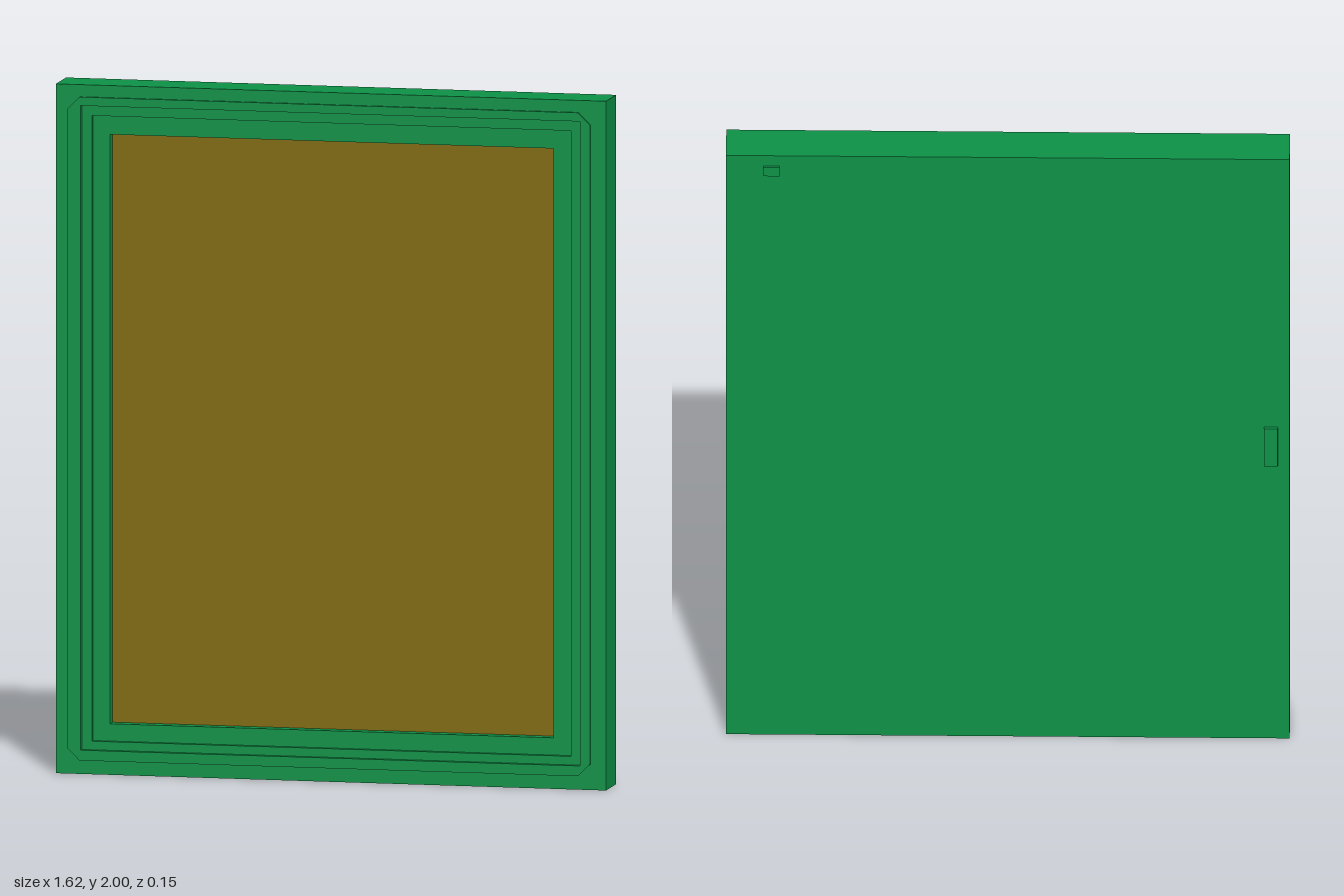
import * as THREE from 'three';

const green = new THREE.MeshStandardMaterial({ color: 0x0d9146, flatShading: true });
const brown = new THREE.MeshStandardMaterial({ color: 0x80690d, flatShading: true });

// Corners of a rectangle, counter-clockwise seen from the front.
const corners = ([x0, x1, y0, y1]) => [[x0, y0], [x1, y0], [x1, y1], [x0, y1]];

const outer = [-0.81, 0.81, 0, 2];
const rimOuter = [-0.775, 0.765, 0.04, 1.965];
const rimInner = [-0.735, 0.735, 0.07, 1.94];
const ledge = [-0.705, 0.705, 0.095, 1.91];
const opening = [-0.655, 0.65, 0.145, 1.855];
const back = -0.066, front = 0.067, ledgeZ = 0.06, innerZ = 0.046, panelZ = 0.012;

// Closed back, outer sides and the stepped recess, as one run of rectangles.
function bodyGeometry() {
  const loops = [
    [outer, back], [outer, front], [rimInner, front], [rimInner, ledgeZ],
    [ledge, ledgeZ], [ledge, innerZ], [opening, innerZ], [opening, panelZ],
  ];
  const positions = loops.flatMap(([rect, z]) => corners(rect).flatMap(([x, y]) => [x, y, z]));
  const index = [0, 2, 1, 0, 3, 2];
  for (let l = 0; l < loops.length - 1; l++) {
    for (let i = 0; i < 4; i++) {
      const a = l * 4 + i, b = l * 4 + (i + 1) % 4;
      index.push(a, b, b + 4, a, b + 4, a + 4);
    }
  }
  const geometry = new THREE.BufferGeometry();
  geometry.setAttribute('position', new THREE.Float32BufferAttribute(positions, 3));
  geometry.setIndex(index);
  const flat = geometry.toNonIndexed();
  flat.computeVertexNormals();
  return flat;
}

// Thin raised border with cut corners.
function rimGeometry() {
  const [x0, x1, y0, y1] = rimOuter, c = 0.036;
  const points = [
    [x0 + c, y0], [x1 - c, y0], [x1, y0 + c], [x1, y1 - c],
    [x1 - c, y1], [x0 + c, y1], [x0, y1 - c], [x0, y0 + c],
  ].map(([x, y]) => new THREE.Vector2(x, y));
  const shape = new THREE.Shape(points);
  shape.holes.push(new THREE.Path(corners(rimInner).reverse().map(([x, y]) => new THREE.Vector2(x, y))));
  return new THREE.ExtrudeGeometry(shape, { depth: 0.075 - front, bevelEnabled: false }).translate(0, 0, front);
}

export function createModel() {
  const group = new THREE.Group();
  const add = (name, geometry, material, x = 0, y = 0, z = 0) => {
    const mesh = new THREE.Mesh(geometry, material);
    mesh.name = name;
    mesh.position.set(x, y, z);
    group.add(mesh);
  };

  add('frameBody', bodyGeometry(), green);
  add('raisedRim', rimGeometry(), green);

  // Recessed centre panel
  const [x0, x1, y0, y1] = opening;
  add('centrePanel', new THREE.PlaneGeometry(x1 - x0, y1 - y0), brown, (x0 + x1) / 2, (y0 + y1) / 2, panelZ);

  // Small raised blocks on the back
  add('upperBackTab', new THREE.BoxGeometry(0.046, 0.03, 0.014), green, 0.678, 1.95, -0.068);
  add('sideBackTab', new THREE.BoxGeometry(0.04, 0.13, 0.014), green, -0.756, 1.01, -0.068);

  return group;
}
